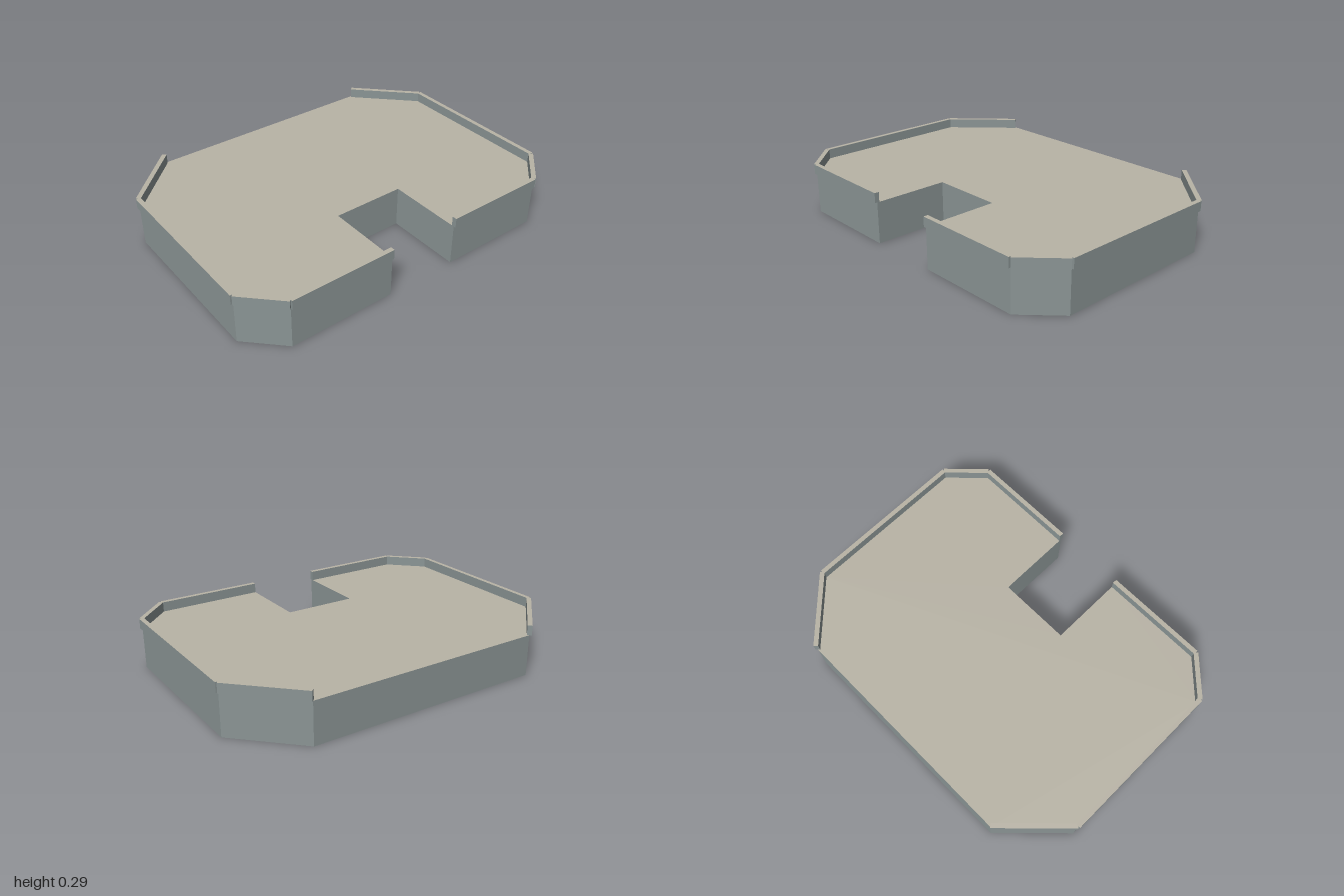
import * as THREE from 'three';

export function createModel() {
  const model = new THREE.Group();
  const stone = new THREE.MeshStandardMaterial({ color: 0x8a9494 });
  stone.name = 'greyStone';
  const paving = new THREE.MeshStandardMaterial({ color: 0xb8b3a5 });
  paving.name = 'beigePaving';

  const deckY = 0.233, railTop = 0.288, railWidth = 0.026;

  // Right half of the outline as [x, z], from the notch round to the back
  const half = [[0.205, 0.285], [0.205, 0.715], [0.8, 0.715], [0.987, 0.53], [0.987, -0.41], [0.675, -0.722]];
  const mirrored = half.map(([x, z]) => [-x, z]).reverse();
  const outline = [...half, ...mirrored];

  // Platform: grey walls and underside, beige deck
  const shape = new THREE.Shape(outline.map(([x, z]) => new THREE.Vector2(x, -z)));
  const body = new THREE.ExtrudeGeometry(shape, { depth: deckY, bevelEnabled: false });
  body.rotateX(-Math.PI / 2);
  const [lids, walls] = body.groups.map((g) => ({ ...g }));
  body.clearGroups();
  body.addGroup(lids.start, lids.count / 2, 0); // underside
  body.addGroup(lids.start + lids.count / 2, lids.count / 2, 1); // deck
  body.addGroup(walls.start, walls.count, 0);
  const platform = new THREE.Mesh(body, [stone, paving]);
  platform.name = 'platform';
  model.add(platform);

  // Parapets centred on the outer edges, with beige tops
  const names = ['frontParapet', 'frontCornerParapet', 'sideParapet', 'backCornerParapet'];
  for (const side of [1, -1]) {
    names.forEach((name, i) => {
      const [x0, z0] = half[i + 1], [x1, z1] = half[i + 2];
      const length = Math.hypot(x1 - x0, z1 - z0);
      const rail = new THREE.Mesh(
        new THREE.BoxGeometry(length, railTop - deckY, railWidth),
        [stone, stone, paving, stone, stone, stone]
      );
      rail.position.set(side * (x0 + x1) / 2, (deckY + railTop) / 2, (z0 + z1) / 2);
      rail.rotation.y = -Math.atan2(z1 - z0, side * (x1 - x0));
      rail.name = (side > 0 ? 'left ' : 'right ') + name;
      model.add(rail);
    });
  }
  return model;
}
